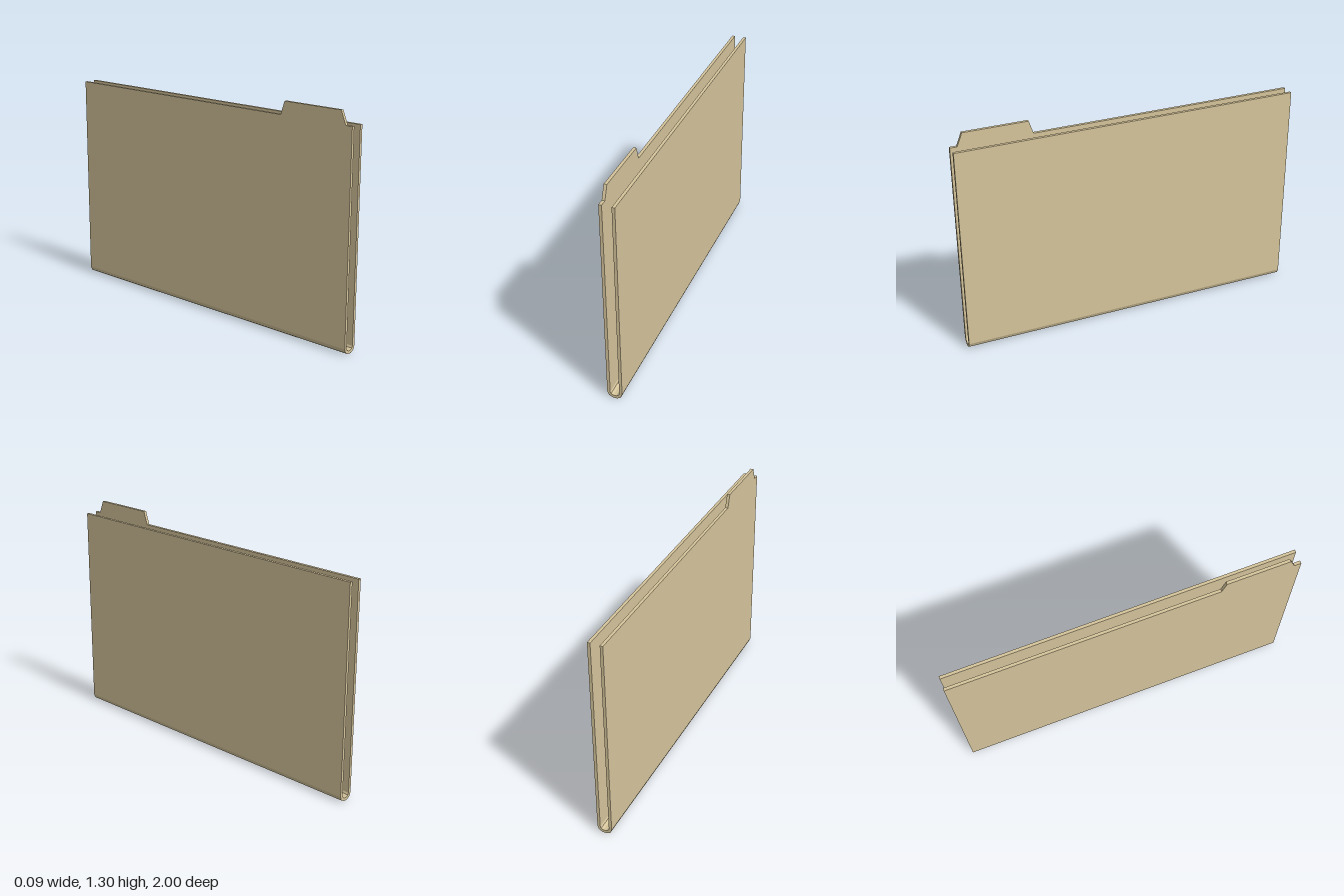
import * as THREE from 'three';

// Closed outline from [x, y] points
function outline(points) {
  return new THREE.Shape(points.map(([x, y]) => new THREE.Vector2(x, y)));
}

function extrude(points, depth) {
  return new THREE.ExtrudeGeometry(outline(points), { depth, bevelEnabled: false });
}

export function createModel() {
  const model = new THREE.Group();
  model.name = 'fileFolder';

  const manila = new THREE.MeshStandardMaterial({ color: 0xd6c59c, flatShading: true });
  manila.name = 'manila card';

  const outer = 0.043, inner = 0.026, top = 1.23;

  // Folded sheet: U-shaped section with a faceted bottom fold
  const outerHalf = [[outer, top], [outer, 0.035], [0.034, 0.012], [0.013, 0]];
  const innerHalf = [[inner, top], [inner, 0.035], [0.021, 0.024], [0.008, 0.017]];
  const mirror = (pts) => pts.map(([x, y]) => [-x, y]).reverse();
  const section = [
    ...mirror(outerHalf).reverse(),
    ...[...outerHalf].reverse(),
    ...innerHalf,
    ...mirror(innerHalf),
  ];
  const sheet = new THREE.Mesh(extrude(section, 2), manila);
  sheet.name = 'foldedSheet';
  sheet.position.z = -1;
  model.add(sheet);

  // Index tab: trapezoid drawn in (-z, y), turned to stand on the rear leaf
  const tabPoints = [[-0.96, top], [-0.54, top], [-0.565, 1.305], [-0.93, 1.305]];
  const tab = new THREE.Mesh(extrude(tabPoints, outer - inner), manila);
  tab.name = 'indexTab';
  tab.rotation.y = Math.PI / 2;
  tab.position.x = -outer;
  model.add(tab);

  return model;
}
